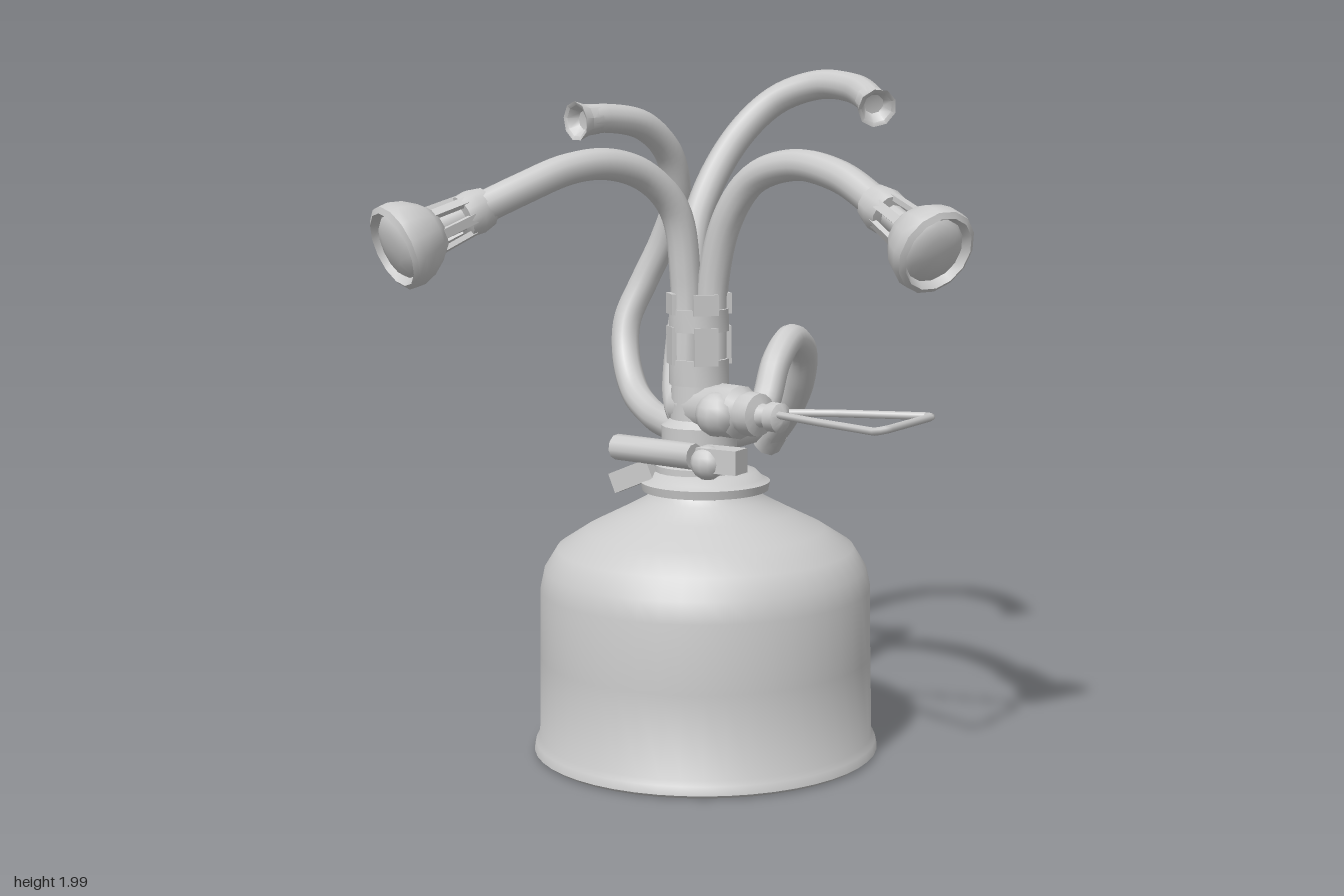
import * as THREE from 'three';
import { toCreasedNormals } from 'three/addons/utils/BufferGeometryUtils.js';

const grey = new THREE.MeshStandardMaterial({ color: 0xcccccc, side: THREE.DoubleSide });
const V = (a) => new THREE.Vector3(...a);
const UP = new THREE.Vector3(0, 1, 0);

function add(parent, name, geo, pos = [0, 0, 0]) {
  const m = new THREE.Mesh(geo, grey);
  m.name = name;
  m.position.set(...pos);
  parent.add(m);
  return m;
}

// Turned part: profile of [radius, height] pairs, creases kept sharp
function lathe(profile, sides = 24) {
  const g = new THREE.LatheGeometry(profile.map((p) => new THREE.Vector2(...p)), sides);
  return toCreasedNormals(g, 0.7);
}

// Group whose +y axis points along dir
function aimed(parent, name, pos, dir) {
  const g = new THREE.Group();
  g.name = name;
  g.position.copy(pos);
  g.quaternion.setFromUnitVectors(UP, dir.clone().normalize());
  parent.add(g);
  return g;
}

function hose(parent, name, pts, r = 0.045) {
  const curve = new THREE.CatmullRomCurve3(pts.map(V));
  add(parent, name, new THREE.TubeGeometry(curve, pts.length * 6, r, 12));
  return curve;
}

// Ring of small slats joining two collars
function slats(parent, count, r0, r1, y0, y1, width) {
  for (let i = 0; i < count; i++) {
    const a = ((i + 0.5) / count) * Math.PI * 2;
    const p0 = new THREE.Vector3(Math.cos(a) * r0, y0, Math.sin(a) * r0);
    const p1 = new THREE.Vector3(Math.cos(a) * r1, y1, Math.sin(a) * r1);
    const d = p1.clone().sub(p0);
    const s = aimed(parent, 'slat', p0.add(p1).multiplyScalar(0.5), d);
    const bar = add(s, 'slatBar', new THREE.BoxGeometry(0.014, d.length() + 0.01, width));
    bar.rotation.y = -a;
  }
}

// Lamp head: collar, slatted neck, bell and domed lens
function lamp(parent, name, mouth, dir) {
  const d = V(dir).normalize();
  const g = aimed(parent, name, V(mouth).addScaledVector(d, -0.28), d);
  add(g, 'lampCollar', lathe([[0.03, -0.03], [0.055, -0.02], [0.064, 0.02], [0.06, 0.06], [0.03, 0.065]], 12));
  add(g, 'lampCore', new THREE.CylinderGeometry(0.035, 0.035, 0.13, 10), [0, 0.1, 0]);
  slats(g, 6, 0.052, 0.06, 0.05, 0.16, 0.026);
  add(g, 'lampBell', lathe([[0.03, 0.14], [0.062, 0.145], [0.085, 0.17], [0.11, 0.21], [0.122, 0.25],
    [0.12, 0.275], [0.105, 0.285], [0.09, 0.262]], 14));
  add(g, 'lampLens', lathe([[0.092, 0.262], [0.08, 0.275], [0.045, 0.285], [0, 0.288]], 14));
}

// Torn, flared socket at the open end of a hose
function flare(parent, curve, r) {
  const g = aimed(parent, 'openSocket', curve.getPoint(1), curve.getTangent(1));
  add(g, 'socketRim', lathe([[0.046, -0.04], [0.048, 0], [r, 0.035], [r - 0.012, 0.03], [0.03, 0], [0, -0.005]], 9));
}

export function createModel() {
  const model = new THREE.Group();
  model.name = 'canisterWithFlexibleLamps';

  // Gas canister
  add(model, 'canister', lathe([[0, 0.025], [0.46, 0.025], [0.495, 0.01], [0.508, 0.02], [0.503, 0.045],
    [0.492, 0.06], [0.487, 0.3], [0.485, 0.5], [0.472, 0.56], [0.435, 0.62], [0.35, 0.675], [0.25, 0.725],
    [0.175, 0.765], [0.16, 0.785], [0.185, 0.79], [0.19, 0.815], [0.17, 0.825], [0.15, 0.845], [0.1, 0.85], [0, 0.85]], 48),
  [-0.17, 0, -0.018]);

  // Valve column
  add(model, 'valveColumn', lathe([[0, 0.84], [0.13, 0.84], [0.13, 0.865], [0.085, 0.88], [0.085, 0.9], [0.11, 0.91],
    [0.11, 0.98], [0.085, 1.0], [0.08, 1.11], [0.05, 1.13], [0, 1.13]]), [-0.185, 0, -0.01]);

  // Pierced crown holding the hoses
  const crown = new THREE.Group();
  crown.name = 'crown';
  crown.position.set(-0.188, 0, -0.015);
  model.add(crown);
  const collar = (y0, y1) => lathe([[0.078, y0], [0.088, y0], [0.088, y1], [0.078, y1], [0.078, y0]], 16);
  add(crown, 'lowerCollar', collar(1.1, 1.175));
  add(crown, 'upperCollar', collar(1.255, 1.32));
  slats(crown, 4, 0.082, 0.082, 1.165, 1.265, 0.07);
  slats(crown, 4, 0.082, 0.082, 1.31, 1.36, 0.075);

  // Side valve with stepped body
  const valve = aimed(model, 'sideValve', V([-0.2, 1.035, 0]), V([0.33, 0.0, 0.08]));
  add(valve, 'valveBody', lathe([[0, -0.06], [0.06, -0.05], [0.07, 0], [0.07, 0.1], [0.078, 0.12], [0.078, 0.19], [0.06, 0.21],
    [0.065, 0.23], [0.062, 0.265], [0.035, 0.275], [0.03, 0.3], [0.043, 0.31], [0.043, 0.345], [0.02, 0.36], [0, 0.36]], 14));
  add(model, 'valveKnob', new THREE.SphereGeometry(0.065, 12, 8), [-0.07, 1.03, 0.08]);

  // Wire lever
  const wire = [[0.1, 1.045, 0.06], [0.28, 1.05, 0.01], [0.53, 1.055, -0.035], [0.565, 1.06, 0.0],
    [0.555, 1.06, 0.25], [0.53, 1.055, 0.28], [0.3, 1.05, 0.18], [0.1, 1.045, 0.08]];
  const loop = new THREE.CurvePath();
  for (let i = 1; i < wire.length; i++) loop.add(new THREE.LineCurve3(V(wire[i - 1]), V(wire[i])));
  add(model, 'wireLever', new THREE.TubeGeometry(loop, 80, 0.011, 6));

  // Front igniter bar with end knob and tab
  const bar = aimed(model, 'igniterBar', V([-0.27, 0.91, 0.105]), V([0.3, 0, 0.04]));
  add(bar, 'barBody', lathe([[0, -0.14], [0.025, -0.14], [0.038, -0.14], [0.038, 0.15], [0, 0.15]], 10));
  add(model, 'barBlock', new THREE.BoxGeometry(0.13, 0.07, 0.07), [-0.04, 0.905, 0.11]);
  add(model, 'frontKnob', new THREE.SphereGeometry(0.05, 12, 8), [-0.08, 0.895, 0.12]);
  const tab = add(model, 'tab', new THREE.BoxGeometry(0.14, 0.06, 0.035), [-0.35, 0.83, 0.09]);
  tab.rotation.z = 0.4;

  // Hoses carrying lamps
  hose(model, 'leftLampHose', [[-0.155, 1.12, -0.03], [-0.15, 1.4, -0.035], [-0.1, 1.58, -0.03], [-0.01, 1.695, -0.02],
    [0.14, 1.74, 0.01], [0.3, 1.715, 0.055], [0.42, 1.66, 0.1], [0.49, 1.62, 0.135]]);
  lamp(model, 'leftLamp', [0.68, 1.53, 0.225], [0.25, -0.12, 0.125]);
  hose(model, 'frontLampHose', [[-0.225, 1.12, 0], [-0.23, 1.4, -0.01], [-0.245, 1.6, 0.02], [-0.285, 1.7, 0.11],
    [-0.335, 1.74, 0.23], [-0.39, 1.73, 0.35], [-0.455, 1.68, 0.48], [-0.52, 1.63, 0.58]]);
  lamp(model, 'frontLamp', [-0.645, 1.53, 0.81], [-0.13, -0.11, 0.27]);

  // Bare hoses with open ends
  const side = hose(model, 'rightHose', [[-0.22, 0.94, -0.05], [-0.39, 0.94, -0.18], [-0.53, 0.95, -0.3], [-0.64, 1.0, -0.38],
    [-0.71, 1.1, -0.44], [-0.73, 1.21, -0.48], [-0.69, 1.34, -0.525], [-0.63, 1.47, -0.545], [-0.575, 1.6, -0.53],
    [-0.565, 1.74, -0.47], [-0.59, 1.83, -0.36], [-0.64, 1.855, -0.22], [-0.665, 1.85, -0.15]]);
  flare(model, side, 0.06);
  const tall = hose(model, 'tallHose', [[-0.22, 0.96, -0.03], [-0.33, 1.02, -0.13], [-0.4, 1.18, -0.26], [-0.415, 1.36, -0.34],
    [-0.425, 1.57, -0.42], [-0.37, 1.78, -0.54], [-0.27, 1.905, -0.62], [-0.13, 1.954, -0.64], [0.01, 1.945, -0.6],
    [0.09, 1.92, -0.54], [0.13, 1.9, -0.5]]);
  flare(model, tall, 0.06);
  const low = hose(model, 'backHose', [[-0.15, 0.945, -0.05], [-0.15, 0.95, -0.25], [-0.15, 1.0, -0.34], [-0.155, 1.12, -0.42],
    [-0.16, 1.18, -0.52], [-0.175, 1.13, -0.63], [-0.23, 1.01, -0.71], [-0.32, 0.89, -0.78], [-0.4, 0.81, -0.83]]);
  flare(model, low, 0.05);
  const sleeve = aimed(model, 'backSleeve', V([-0.15, 0.945, -0.15]), V([0, 0, -1]));
  add(sleeve, 'sleeveTube', new THREE.CylinderGeometry(0.053, 0.053, 0.18, 12));

  return model;
}
